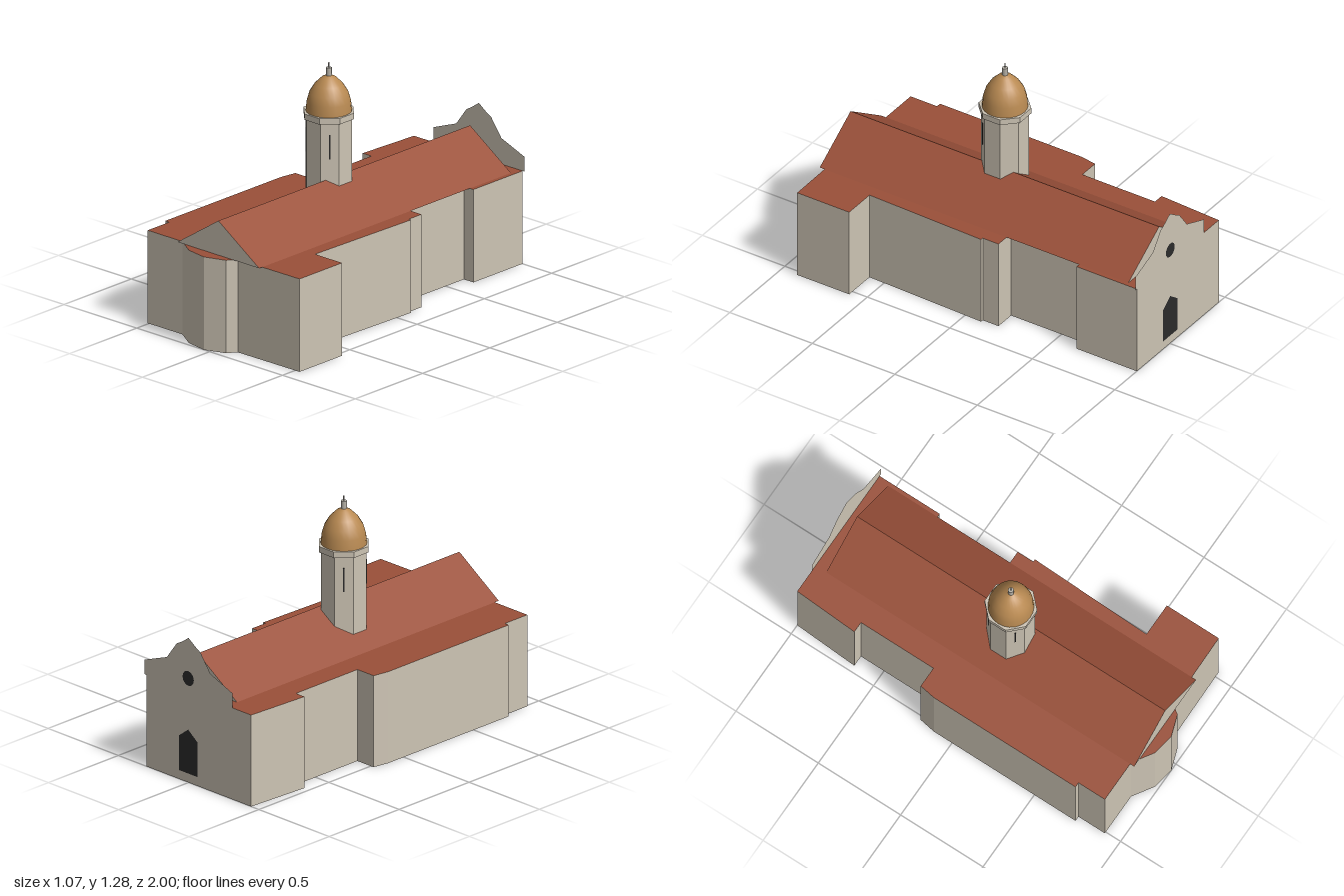
import * as THREE from 'three';

const mat = (name, color, side = THREE.FrontSide) => {
  const m = new THREE.MeshStandardMaterial({ color, side });
  m.name = name;
  return m;
};

export function createModel() {
  const stone = mat('stone', 0xcdc4b4, THREE.DoubleSide);
  const tile = mat('roof tile', 0x9a5039, THREE.DoubleSide);
  const bronze = mat('dome bronze', 0xb98a52);
  const metal = mat('lantern grey', 0xb9b4aa);
  const dark = mat('dark opening', 0x2b2b2b, THREE.DoubleSide);

  const group = new THREE.Group();
  const add = (name, geo, material, x = 0, y = 0, z = 0) => {
    const mesh = new THREE.Mesh(geo, material);
    mesh.name = name;
    mesh.position.set(x, y, z);
    group.add(mesh);
    return mesh;
  };
  const shapeOf = (pts) => new THREE.Shape(pts.map(([x, y]) => new THREE.Vector2(x, y)));

  // Footprint as [x, z], from the back corner down the -x side and round the front
  const H = 0.5;
  const plan = [
    [-0.445, -1], [-0.465, -0.64], [-0.405, -0.64], [-0.405, -0.2], [-0.52, -0.2],
    [-0.535, -0.11], [-0.535, 0.75], [-0.508, 0.75], [-0.508, 0.91], [-0.27, 0.91],
    [-0.16, 0.98], [-0.04, 1], [0.075, 0.96], [0.11, 0.91], [0.53, 0.905],
    [0.53, 0.59], [0.345, 0.59], [0.365, -0.1], [0.35, -0.1], [0.35, -0.195],
    [0.235, -0.195], [0.235, -0.635], [0.3, -0.635], [0.3, -1],
  ];

  // Walls, open underneath
  const pos = [];
  plan.forEach(([ax, az], i) => {
    const [bx, bz] = plan[(i + 1) % plan.length];
    pos.push(ax, 0, az, bx, 0, bz, bx, H, bz, ax, 0, az, bx, H, bz, ax, H, az);
  });
  const walls = new THREE.BufferGeometry();
  walls.setAttribute('position', new THREE.Float32BufferAttribute(pos, 3));
  walls.computeVertexNormals();
  add('walls', walls, stone);

  // Flat roof deck
  const deck = new THREE.ShapeGeometry(shapeOf(plan.map(([x, z]) => [x, -z])));
  deck.rotateX(-Math.PI / 2);
  add('flatRoof', deck, tile, 0, H, 0);

  // Pitched roof with stone gable ends
  const gable = new THREE.ExtrudeGeometry(
    shapeOf([[-0.28, 0.502], [0.28, 0.502], [0, 0.687]]), { depth: 1.87, bevelEnabled: false });
  add('pitchedRoof', gable, [stone, tile], 0, 0, -0.935);

  // Curved parapet over the back wall
  const half = [[0.312, 0.5], [0.312, 0.58], [0.155, 0.64], [0.085, 0.735], [0.05, 0.755]];
  const outline = [...half, [0, 0.79], ...half.map(([x, y]) => [-x, y]).reverse()];
  add('parapet', new THREE.ShapeGeometry(shapeOf(outline)), stone, 0, 0, -1);

  // Back door and round window
  const door = shapeOf([[-0.065, 0.05], [0.065, 0.05], [0.065, 0.24], [0, 0.29], [-0.065, 0.24]]);
  add('door', new THREE.ShapeGeometry(door), dark, 0, 0, -1.003);
  add('roundWindow', new THREE.CircleGeometry(0.04, 16), dark, 0, 0.57, -1.003);

  // Octagonal tower, flats facing the axes
  const TX = -0.066, TZ = 0.043;
  const octagon = (apothem, y0, y1) => {
    const r = apothem / Math.cos(Math.PI / 8);
    const g = new THREE.CylinderGeometry(r, r, y1 - y0, 8).toNonIndexed();
    g.rotateY(Math.PI / 8);
    g.translate(0, (y0 + y1) / 2, 0);
    g.computeVertexNormals();
    return g;
  };
  add('tower', octagon(0.115, 0.51, 0.99), stone, TX, 0, TZ);
  add('cornice', octagon(0.125, 0.99, 1.022), stone, TX, 0, TZ);

  // Slit windows on the diagonal faces
  for (const k of [-1, 1, -3]) {
    const a = (k * Math.PI) / 4;
    const slit = add('slitWindow', new THREE.BoxGeometry(0.008, 0.13, 0.006), dark,
      TX + Math.sin(a) * 0.115, 0.865, TZ + Math.cos(a) * 0.115);
    slit.rotation.y = a;
  }

  // Dome, lantern and finial
  const profile = [[0.117, 1.022], [0.112, 1.075], [0.099, 1.12], [0.073, 1.163],
    [0.036, 1.2], [0, 1.216]].map(([x, y]) => new THREE.Vector2(x, y));
  add('dome', new THREE.LatheGeometry(profile, 24), bronze, TX, 0, TZ);
  add('lantern', new THREE.CylinderGeometry(0.015, 0.015, 0.045, 8), metal, TX, 1.229, TZ);
  add('finial', new THREE.CylinderGeometry(0.003, 0.003, 0.03, 6), metal, TX, 1.263, TZ);

  return group;
}
